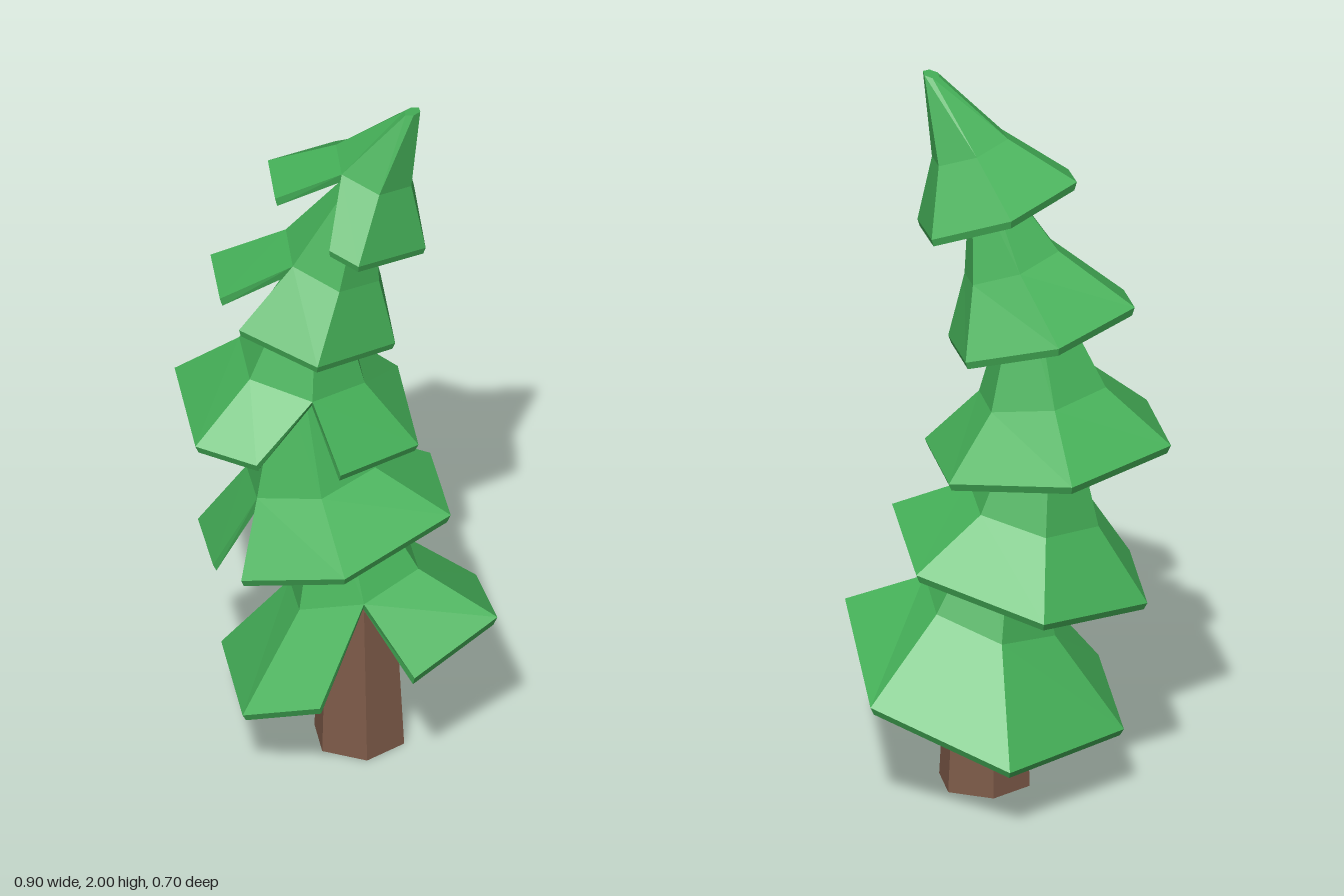
import * as THREE from 'three';

const green = new THREE.MeshStandardMaterial({ color: 0x45b058, flatShading: true });
green.name = 'needleGreen';
const brown = new THREE.MeshStandardMaterial({ color: 0x7d5a48, flatShading: true });
brown.name = 'barkBrown';

const V = (x, y, z) => new THREE.Vector3(x, y, z);

// Collects quads (corners counter-clockwise from outside) into one flat-shaded mesh
function quadMesh(name, material, quads) {
  const pts = [];
  for (const [a, b, c, d] of quads) pts.push(a, b, c, a, c, d);
  const geo = new THREE.BufferGeometry().setFromPoints(pts);
  geo.computeVertexNormals();
  const mesh = new THREE.Mesh(geo, material);
  mesh.name = name;
  return mesh;
}

// Tilted hexagon given by its left and right corners [x, y]; the rest follows
function hexRing([lx, ly], [rx, ry], frontDrop = 0, backDrop = 0) {
  const hx = (rx - lx) / 2, hy = (ry - ly) / 2, radius = Math.hypot(hx, hy);
  return Array.from({ length: 6 }, (_, i) => {
    const a = i * Math.PI / 3, s = Math.sin(a);
    const drop = i % 3 === 0 ? 0 : s > 0 ? frontDrop : backDrop;
    return V((lx + rx) / 2 + hx * Math.cos(a), (ly + ry) / 2 + hy * Math.cos(a) - drop, radius * s);
  });
}

// Branch tier: thin hexagonal skirt, split open at one front corner
function tier(name, { top, mid, low, drop = [0, 0], corner, cut }) {
  const rings = [hexRing(...top), hexRing(...mid), hexRing(...low, ...drop)];
  const n = (i) => (i + corner) % 6;
  // seven columns run from one side of the split round to the other
  const outer = rings.map((ring, r) => Array.from({ length: 7 }, (_, i) => {
    const p = ring[n(i)].clone();
    if (r === 2 && i === 0) p.lerp(ring[n(1)], cut[0]);
    if (r === 2 && i === 6) p.lerp(ring[n(5)], cut[1]);
    return p;
  }));
  // the lining sits a little below and inside
  const inner = outer.map((ring, r) => {
    const c = rings[r].reduce((s, p) => s.add(p), V(0, 0, 0)).divideScalar(6);
    return ring.map((p) => p.clone().lerp(c, [0.3, 0.08, 0.03][r]).add(V(0, -0.022, 0)));
  });
  const quads = [];
  for (let i = 0; i < 6; i++) {
    for (let r = 0; r < 2; r++) {
      quads.push([outer[r + 1][i], outer[r][i], outer[r][i + 1], outer[r + 1][i + 1]]);
      quads.push([inner[r + 1][i + 1], inner[r][i + 1], inner[r][i], inner[r + 1][i]]);
    }
    quads.push([inner[2][i], outer[2][i], outer[2][i + 1], inner[2][i + 1]]);
  }
  // split edges
  quads.push([inner[2][0], inner[1][0], outer[1][0], outer[2][0]]);
  quads.push([outer[2][6], outer[1][6], inner[1][6], inner[2][6]]);
  // cap
  const t = outer[0];
  quads.push([t[3], t[2], t[1], t[0]], [t[0], t[5], t[4], t[3]]);
  return quadMesh(name, green, quads);
}

// Bent six-sided trunk from stacked rings [x, y, radius]
function trunk() {
  const path = [
    [0.065, 0, 0.125], [0.06, 0.45, 0.105], [-0.04, 0.8, 0.085], [-0.065, 1.08, 0.07],
    [-0.04, 1.4, 0.055], [0.045, 1.7, 0.042], [0.19, 1.965, 0.015],
  ];
  const rings = path.map(([x, y, r]) => hexRing([x - r, y], [x + r, y]));
  const quads = [];
  for (let r = 0; r < rings.length - 1; r++) {
    for (let i = 0; i < 6; i++) {
      const j = (i + 1) % 6;
      quads.push([rings[r][i], rings[r + 1][i], rings[r + 1][j], rings[r][j]]);
    }
  }
  const b = rings[0], t = rings[rings.length - 1];
  quads.push([b[0], b[1], b[2], b[3]], [b[3], b[4], b[5], b[0]]);
  quads.push([t[3], t[2], t[1], t[0]], [t[0], t[5], t[4], t[3]]);
  return quadMesh('trunk', brown, quads);
}

export function createModel() {
  const tree = new THREE.Group();
  tree.name = 'pineTree';
  tree.add(trunk());

  // tiers from the ground up; top, mid and low give [left, right] corners
  const tiers = [
    { top: [[-0.06, 0.79], [0.06, 0.82]], mid: [[-0.13, 0.44], [0.23, 0.56]],
      low: [[-0.32, 0.2], [0.45, 0.46]], drop: [0.03, 0.07], corner: 1, cut: [0.44, 0.29] },
    { top: [[-0.165, 1.13], [-0.05, 1.16]], mid: [[-0.25, 0.77], [0.11, 0.85]],
      low: [[-0.385, 0.57], [0.32, 0.75]], corner: 2, cut: [0.26, 0.18] },
    { top: [[-0.1, 1.48], [-0.02, 1.46]], mid: [[-0.27, 1.17], [0.08, 1.11]],
      low: [[-0.45, 1.03], [0.23, 0.95]], corner: 1, cut: [0.5, 0.23] },
    { top: [[0.03, 1.75], [0.105, 1.73]], mid: [[-0.14, 1.54], [0.12, 1.44]],
      low: [[-0.35, 1.41], [0.165, 1.255]], corner: 2, cut: [0.36, 0.15] },
    { top: [[0.19, 1.99], [0.235, 2.0]], mid: [[0, 1.84], [0.21, 1.76]],
      low: [[-0.19, 1.745], [0.25, 1.575]], corner: 2, cut: [0.39, 0.63] },
  ];
  tiers.forEach((t, i) => tree.add(tier(`branchTier${i + 1}`, t)));
  return tree;
}
